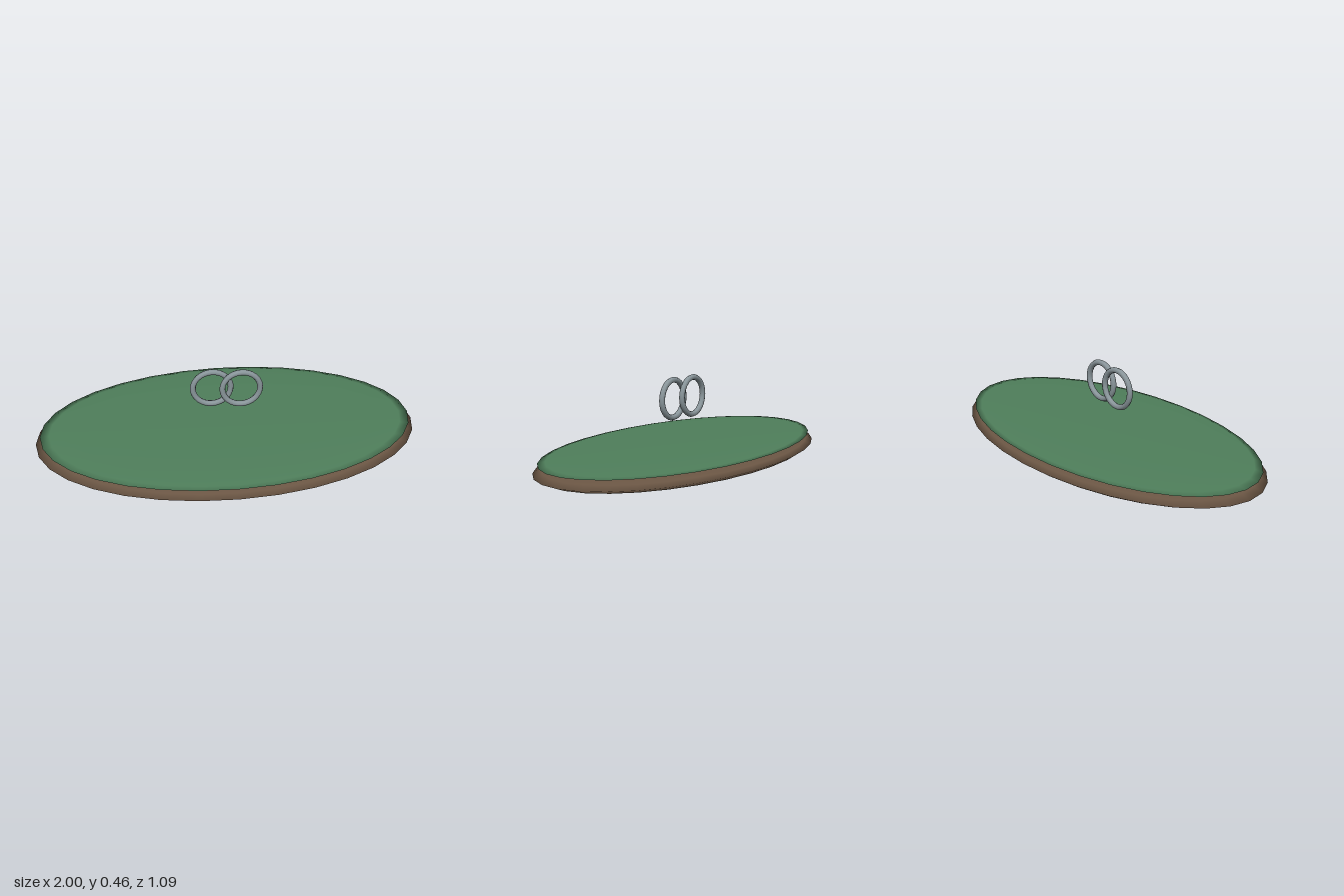
import * as THREE from 'three';

const material = (name, color) => {
  const m = new THREE.MeshStandardMaterial({ color });
  m.name = name;
  return m;
};

export function createModel() {
  const earth = material('earth brown', 0x6b5644);
  const grass = material('grass green', 0x4f7f5b);
  const metal = material('ring grey', 0x8a969b);
  const group = new THREE.Group();
  group.name = 'linkedRingsOnMound';

  // Flattened oval disc made from a squashed sphere
  const disc = (name, mat, rx, ry, rz, y) => {
    const mesh = new THREE.Mesh(new THREE.SphereGeometry(1, 32, 10).scale(rx, ry, rz), mat);
    mesh.name = name;
    mesh.position.y = y;
    group.add(mesh);
  };
  disc('earthBase', earth, 1, 0.06, 0.545, 0.06);
  disc('grassTop', grass, 0.975, 0.017, 0.523, 0.106);

  // Pair of overlapping upright rings floating above the grass
  const ringShape = new THREE.TorusGeometry(0.0975, 0.015, 8, 32);
  for (const [name, x, z] of [['rightRing', -0.076, 0], ['leftRing', 0.074, 0.02]]) {
    const ring = new THREE.Mesh(ringShape, metal);
    ring.name = name;
    ring.position.set(x, 0.346, z);
    group.add(ring);
  }
  return group;
}
